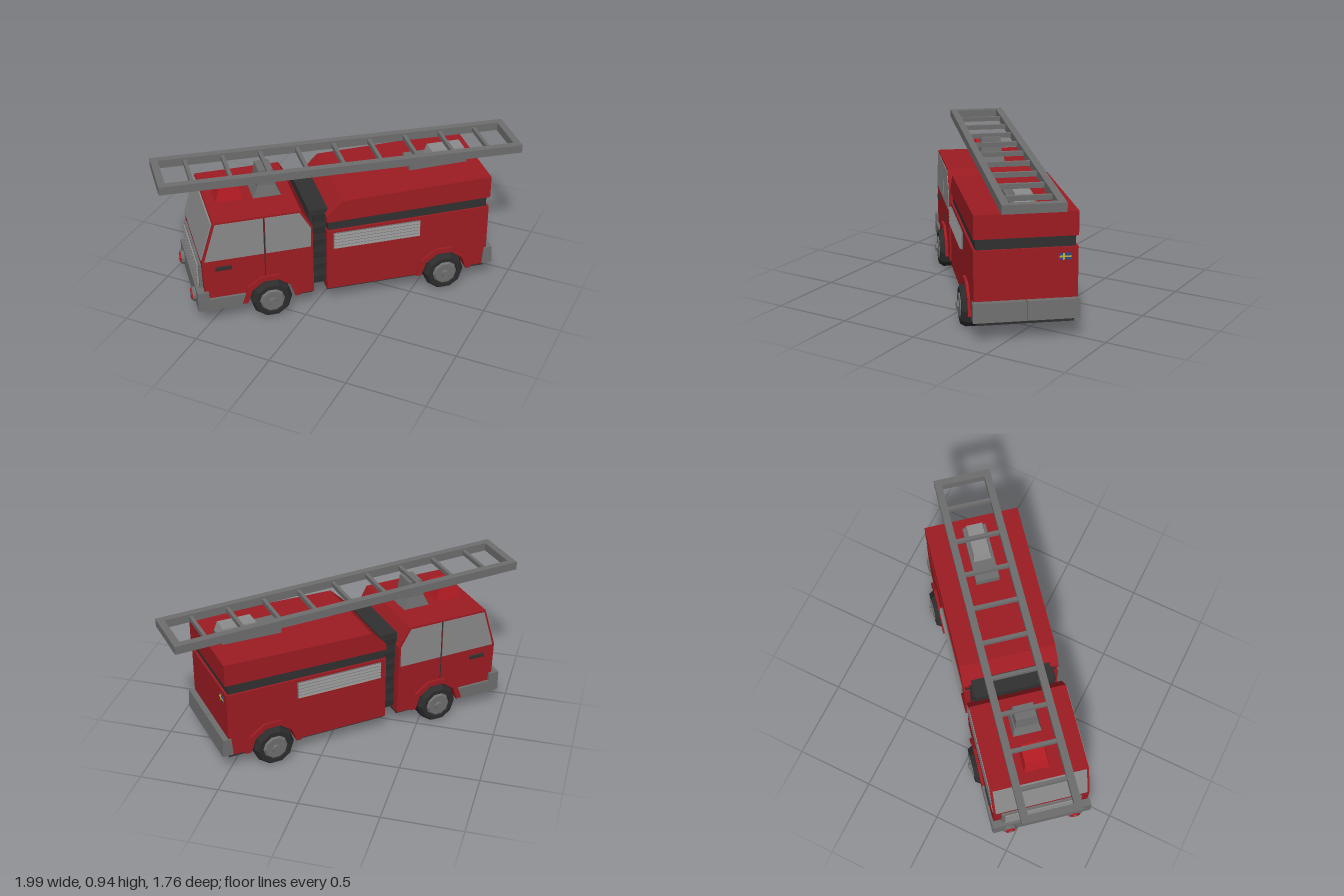
import * as THREE from 'three';

const mat = (color) => new THREE.MeshStandardMaterial({ color, flatShading: true });
const RED = mat(0x9c1c22), LAMP = mat(0xb81c24), GREY = mat(0x6e6e6e), LIGHT = mat(0x8c8c8c);
const GLASS = mat(0x8a8a8a), DARK = mat(0x303030), TYRE = mat(0x2c2c2c);
const BLUE = mat(0x2a4a8c), YELLOW = mat(0xc8b030);

export function createModel() {
  const model = new THREE.Group();
  const truck = new THREE.Group();
  truck.name = 'fireTruck';
  truck.rotation.y = THREE.MathUtils.degToRad(-50);
  model.add(truck);

  const add = (name, geometry, material, x = 0, y = 0, z = 0, parent = truck) => {
    const mesh = new THREE.Mesh(geometry, material);
    mesh.name = name;
    mesh.position.set(x, y, z);
    parent.add(mesh);
    return mesh;
  };
  const box = (name, material, w, h, d, x, y, z, parent) =>
    add(name, new THREE.BoxGeometry(w, h, d), material, x, y, z, parent);

  // Side profile given as [z, y], extruded across x
  const profile = (name, material, points, width, x = 0) => {
    const shape = new THREE.Shape(points.map(([z, y]) => new THREE.Vector2(z, y)));
    const geometry = new THREE.ExtrudeGeometry(shape, { depth: width, bevelEnabled: false });
    geometry.rotateY(-Math.PI / 2).translate(width / 2, 0, 0);
    return add(name, geometry, material, x);
  };

  // Box whose top is scaled down
  const taper = (name, material, w, h, d, sx, sz, x, y, z) => {
    const geometry = new THREE.BoxGeometry(w, h, d);
    const p = geometry.attributes.position;
    for (let i = 0; i < p.count; i++) {
      if (p.getY(i) > 0) p.setXYZ(i, p.getX(i) * sx, p.getY(i), p.getZ(i) * sz);
    }
    return add(name, geometry, material, x, y, z);
  };

  // Half-octagon arc over a wheel, front to back
  const arc = (cz, r, steps = 5) => Array.from({ length: steps + 1 }, (_, i) => {
    const a = Math.PI * i / steps;
    return [cz + r * Math.cos(a), 0.12 + r * Math.sin(a)];
  });
  const axleZ = [0.52, -0.607];

  // Cab
  profile('cab', RED, [
    [0.93, 0.12], [0.94, 0.46], [0.86, 0.725], [0.32, 0.725], [0.25, 0.6], [0.245, 0.12],
    ...arc(axleZ[0], 0.155).reverse(),
  ], 0.61);
  profile('frontSideWindow', GLASS, [[0.925, 0.46], [0.85, 0.712], [0.557, 0.712], [0.557, 0.46]], 0.618);
  profile('rearSideWindow', GLASS, [[0.545, 0.46], [0.545, 0.712], [0.33, 0.712], [0.262, 0.595], [0.262, 0.46]], 0.618);
  profile('windshield', GLASS, [[0.946, 0.468], [0.873, 0.712], [0.85, 0.712], [0.92, 0.468]], 0.58);
  box('doorSeam', DARK, 0.612, 0.42, 0.006, 0, 0.5, 0.551);

  // Grille
  box('grilleFrame', GREY, 0.51, 0.18, 0.03, 0, 0.325, 0.94);
  for (let i = 0; i < 5; i++) box('grilleBar', LIGHT, 0.47, 0.022, 0.03, 0, 0.26 + i * 0.033, 0.95);

  // Front bumper with lamps
  box('frontBumper', GREY, 0.64, 0.13, 0.07, 0, 0.178, 0.945);
  for (const s of [-1, 1]) {
    box('bumperSide', GREY, 0.05, 0.08, 0.29, s * 0.297, 0.15, 0.82);
    const disc = (r, d) => new THREE.CylinderGeometry(r, r, d, 10).rotateX(Math.PI / 2);
    add('headlightRing', disc(0.046, 0.03), GREY, s * 0.21, 0.177, 0.985);
    add('headlight', disc(0.032, 0.036), LAMP, s * 0.21, 0.177, 0.99);
    add('headlightCentre', disc(0.014, 0.042), GREY, s * 0.21, 0.177, 0.99);
    box('doorHandle', DARK, 0.016, 0.022, 0.1, s * 0.309, 0.4, 0.81);
  }

  // Ribbed joint between cab and body
  box('joint', DARK, 0.5, 0.54, 0.12, 0, 0.41, 0.2);
  for (let i = 0; i < 6; i++) box('jointRib', TYRE, 0.53, 0.045, 0.08, 0, 0.18 + i * 0.09, 0.2);

  // Rear body
  profile('lowerBody', RED, [
    [0.16, 0.12], [0.16, 0.548], [-0.895, 0.555], [-0.895, 0.13],
    ...arc(axleZ[1], 0.155).reverse(),
  ], 0.61);
  profile('bodyBand', DARK, [[0.15, 0.53], [0.15, 0.65], [-0.88, 0.65], [-0.88, 0.53]], 0.585);
  profile('upperBody', RED, [
    [0.16, 0.61], [0.16, 0.65], [0.06, 0.748], [-0.9, 0.768], [-0.9, 0.623],
  ], 0.61);
  for (const s of [-1, 1]) {
    box('ventPanel', GREY, 0.012, 0.11, 0.56, s * 0.307, 0.475, -0.16);
    for (let i = 0; i < 5; i++) {
      const slat = box('ventSlat', LIGHT, 0.016, 0.016, 0.555, s * 0.314, 0.43 + i * 0.0225, -0.16);
      slat.rotation.z = s * 0.5;
    }
    // Rear bumper half
    taper('rearBumper', GREY, 0.312, 0.115, 0.07, 1, 0.75, s * 0.158, 0.192, -0.905);
  }
  box('flagField', BLUE, 0.07, 0.04, 0.006, -0.228, 0.5, -0.896);
  box('flagUpright', YELLOW, 0.01, 0.04, 0.008, -0.218, 0.5, -0.897);
  box('flagCrossbar', YELLOW, 0.07, 0.009, 0.008, -0.228, 0.5, -0.897);

  // Underside
  [[0.8, 0.22], [0.3, 0.1], [-0.14, 0.59], [-0.83, 0.12]].forEach(([z, d]) =>
    box('underside', DARK, 0.57, 0.03, d, 0, 0.115, z));

  // Wheels, arches and axles
  const tyreShape = [[0, 0.2], [0.11, 0.2], [0.13, 0.22], [0.13, 0.32], [0.112, 0.35], [0.085, 0.35], [0.08, 0.335], [0, 0.335]]
    .map(([r, h]) => new THREE.Vector2(r, h));
  for (const z of axleZ) {
    profile('archTrim', RED, [...arc(z, 0.185), ...arc(z, 0.15).reverse()], 0.645);
    box('wheelWell', DARK, 0.38, 0.13, 0.31, 0, 0.215, z);
    add('axle', new THREE.CylinderGeometry(0.03, 0.03, 0.42, 8).rotateZ(Math.PI / 2), GREY, 0, 0.125, z);
    for (const s of [-1, 1]) {
      const wheel = new THREE.Group();
      wheel.name = 'wheel';
      wheel.position.set(0, 0.13, z);
      wheel.rotation.z = -s * Math.PI / 2;
      truck.add(wheel);
      const tyre = add('tyre', new THREE.LatheGeometry(tyreShape, 10), TYRE, 0, 0, 0, wheel);
      tyre.material = TYRE;
      add('hub', new THREE.CylinderGeometry(0.07, 0.082, 0.02, 10), GREY, 0, 0.345, 0, wheel);
      add('hubCap', new THREE.CylinderGeometry(0.024, 0.028, 0.02, 8), GREY, 0, 0.36, 0, wheel);
    }
  }

  // Beacon and ladder supports on the roofs
  taper('beacon', LAMP, 0.16, 0.1, 0.17, 0.85, 0.7, 0, 0.77, 0.715);
  taper('frontSupportBase', GREY, 0.18, 0.07, 0.18, 0.85, 0.65, 0, 0.755, 0.48);
  taper('frontSupport', GREY, 0.14, 0.12, 0.12, 0.9, 0.75, 0, 0.84, 0.48);
  box('rearSupportBase', GREY, 0.15, 0.05, 0.38, 0, 0.78, -0.63);
  taper('rearSupport', LIGHT, 0.12, 0.06, 0.25, 0.85, 0.85, 0, 0.83, -0.7);

  // Ladder
  const ladder = new THREE.Group();
  ladder.name = 'ladder';
  ladder.position.y = 0.893;
  ladder.rotation.x = -0.024;
  truck.add(ladder);
  for (const s of [-1, 1]) {
    box('ladderRail', GREY, 0.045, 0.053, 2.296, s * 0.16, 0, 0, ladder);
    box('ladderEnd', GREY, 0.32, 0.053, 0.045, 0, 0, s * 1.1255, ladder);
  }
  for (let i = -4; i <= 4; i++) box('ladderRung', GREY, 0.32, 0.03, 0.022, 0, 0, i * 0.235, ladder);

  return model;
}
